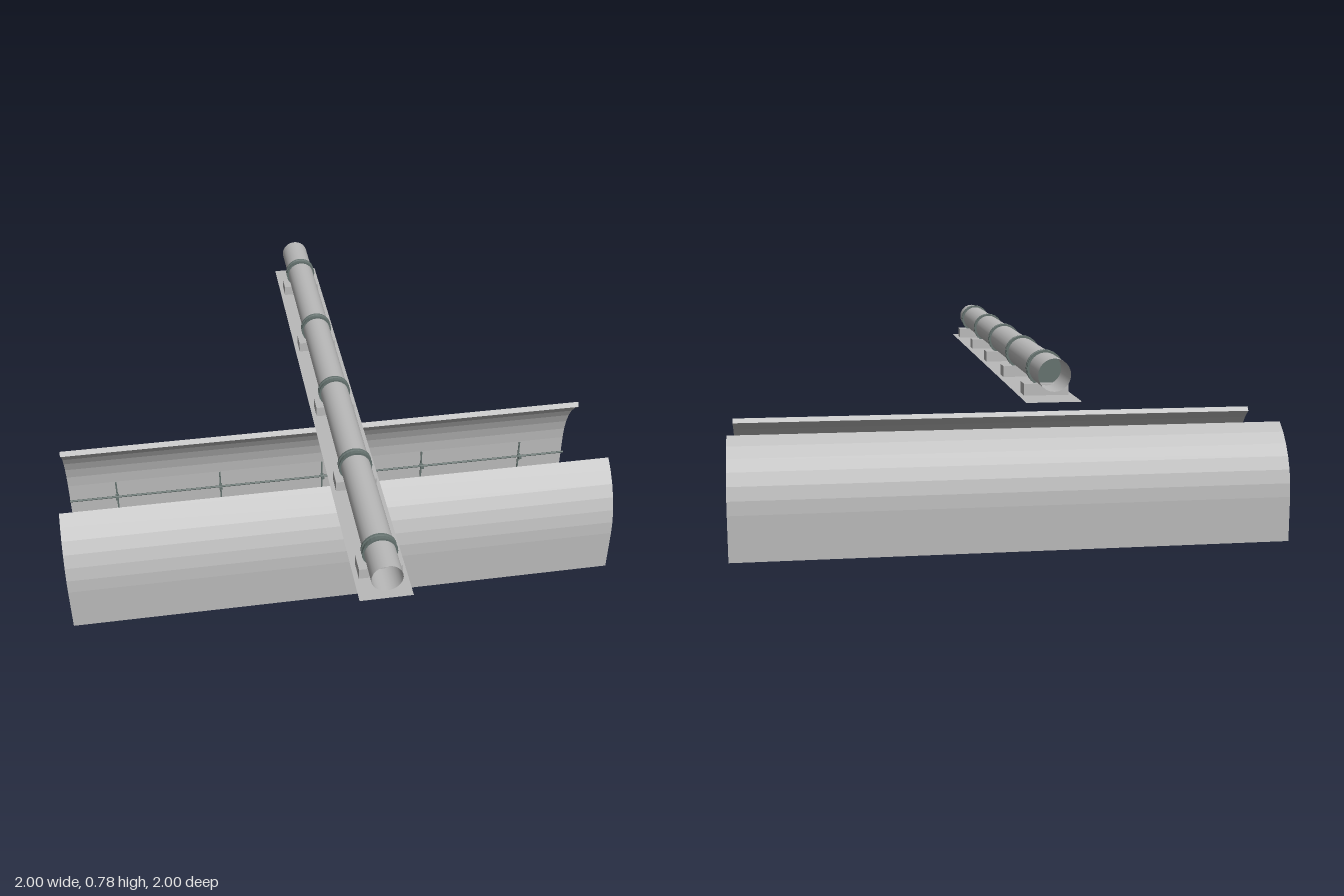
import * as THREE from 'three';

export function createModel() {
  const model = new THREE.Group();
  const concrete = new THREE.MeshStandardMaterial({ name: 'pale grey', color: 0xbababa, side: THREE.DoubleSide });
  const steel = new THREE.MeshStandardMaterial({ name: 'dark green grey', color: 0x64716e, side: THREE.DoubleSide });

  function add(name, geometry, material, x = 0, y = 0, z = 0) {
    const mesh = new THREE.Mesh(geometry, material);
    mesh.name = name;
    mesh.position.set(x, y, z);
    model.add(mesh);
    return mesh;
  }
  const box = (name, w, h, d, material, x, y, z) =>
    add(name, new THREE.BoxGeometry(w, h, d), material, x, y, z);

  // Sweeps a [z, y] profile along x, leaving both ends open
  function sweep(profile, closed = false, half = 1) {
    const pos = [];
    const count = closed ? profile.length : profile.length - 1;
    for (let i = 0; i < count; i++) {
      const [z0, y0] = profile[i];
      const [z1, y1] = profile[(i + 1) % profile.length];
      pos.push(-half, y0, z0, half, y0, z0, half, y1, z1);
      pos.push(-half, y0, z0, half, y1, z1, -half, y1, z1);
    }
    const g = new THREE.BufferGeometry();
    g.setAttribute('position', new THREE.Float32BufferAttribute(pos, 3));
    g.computeVertexNormals();
    return g;
  }

  // Curved tunnel walls: outer skin, top rim and inner skin
  const springY = 0.165, outerR = 0.312, innerR = 0.292, arc = 0.957, steps = 6;
  for (const side of [1, -1]) {
    const outer = [[side * outerR, 0]], inner = [[side * innerR, 0]];
    for (let i = 0; i <= steps; i++) {
      const a = (arc * i) / steps;
      outer.push([side * outerR * Math.cos(a), springY + outerR * Math.sin(a)]);
      inner.push([side * innerR * Math.cos(a), springY + innerR * Math.sin(a)]);
    }
    const profile = [...outer, ...inner.reverse()];
    if (side > 0) profile.reverse();
    // Reversal keeps the faces turned out of the wall on both sides
    add(side > 0 ? 'frontWall' : 'backWall', sweep(profile), concrete);
  }

  // Base slab and raised track bed
  add('base', sweep([[-outerR, 0], [outerR, 0]]), concrete);
  add('trackBed', sweep([[0.29, 0.002], [0.18, 0.038], [-0.18, 0.038], [-0.29, 0.002]]), concrete);

  // Sleepers
  for (let i = 0; i < 23; i++) {
    box('sleeper', 0.023, 0.014, 0.32, concrete, -0.955 + i * 0.0865, 0.044, 0);
  }

  // Rails with foot, web and head
  const halfRail = [[0.011, 0.051], [0.011, 0.055], [0.003, 0.058], [0.003, 0.07], [0.009, 0.073], [0.009, 0.08]];
  const railProfile = [...halfRail, ...halfRail.map(([z, y]) => [-z, y]).reverse()];
  for (const z of [-0.092, 0.087]) add('rail', sweep(railProfile, true), steel, 0, 0, z);

  // Wall posts with cable brackets
  for (let i = -2; i <= 2; i++) {
    for (const side of [1, -1]) {
      box('wallPost', 0.006, 0.165, 0.004, steel, i * 0.408, 0.083, side * 0.286);
      box('cableBracket', 0.012, 0.008, 0.03, steel, i * 0.408, 0.105, side * 0.27);
    }
  }

  // Cable along the back wall
  const cable = new THREE.CylinderGeometry(0.004, 0.004, 2, 8, 1, true).rotateZ(Math.PI / 2);
  add('cable', cable, steel, 0, 0.108, -0.268);

  // Small lamps on the front wall
  for (const x of [-0.82, 0, 0.405, 0.81]) {
    box('lamp', 0.06, 0.018, 0.01, steel, x, 0.188, 0.284);
  }

  // Overhead pipe lying on a thin tray
  const pipe = new THREE.CylinderGeometry(0.049, 0.049, 2, 24, 1, true).rotateX(Math.PI / 2);
  add('pipe', pipe, concrete, 0, 0.72, 0);
  const tray = new THREE.PlaneGeometry(0.166, 2).rotateX(-Math.PI / 2);
  add('pipeTray', tray, concrete, 0, 0.64, 0);

  // Pipe saddles and ribbed clamps
  const clampProfile = [[0, -0.013], [0.056, -0.013], [0.056, -0.007], [0.052, -0.005],
    [0.052, 0.005], [0.056, 0.007], [0.056, 0.013], [0, 0.013]].map(([r, h]) => new THREE.Vector2(r, h));
  const clampGeometry = new THREE.LatheGeometry(clampProfile, 24).rotateX(Math.PI / 2).toNonIndexed();
  clampGeometry.computeVertexNormals();
  for (let i = -2; i <= 2; i++) {
    const z = 0.02 + i * 0.426;
    box('pipeSaddle', 0.136, 0.036, 0.066, concrete, 0, 0.659, z);
    add('pipeClamp', clampGeometry, steel, 0, 0.72, z);
  }

  return model;
}
